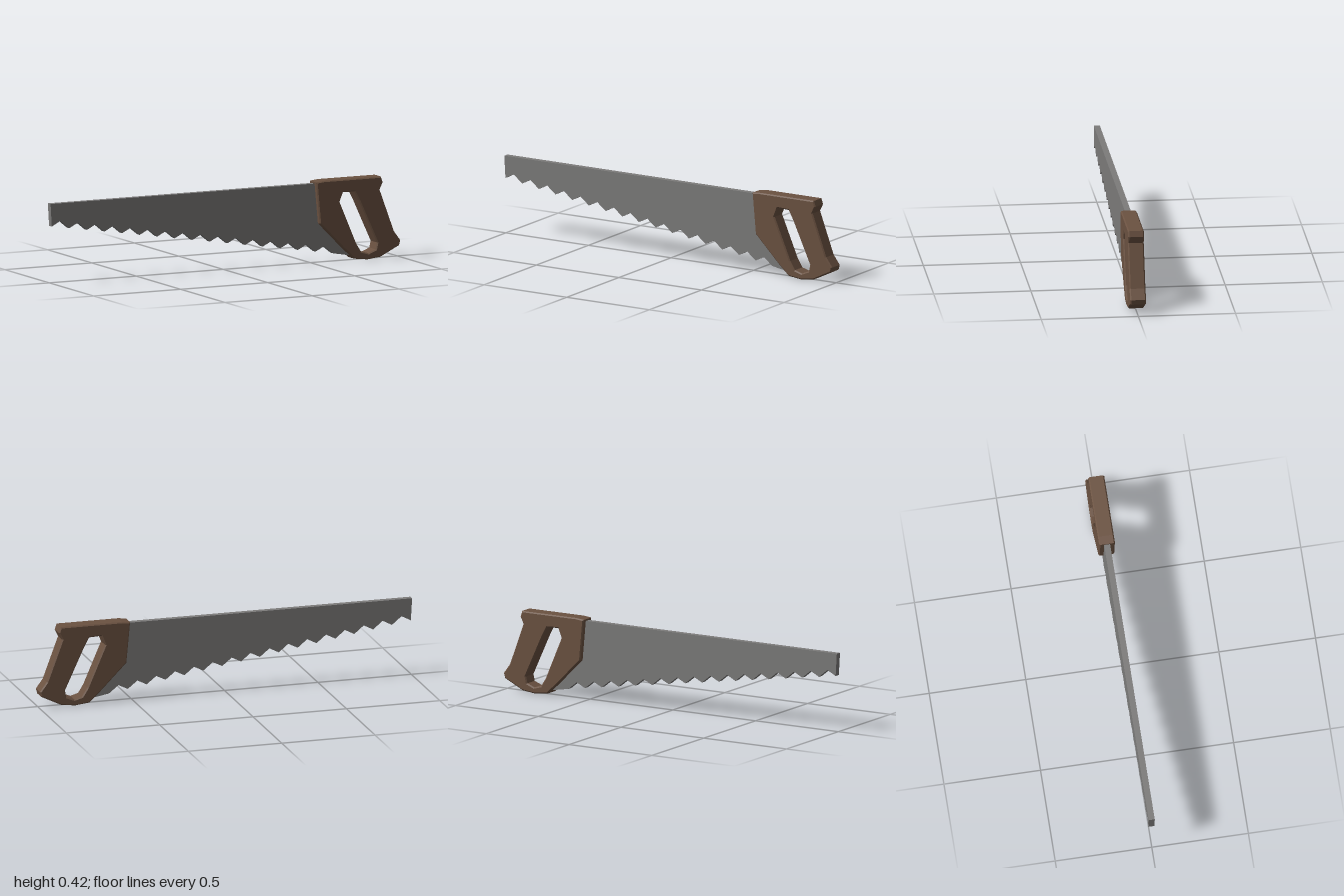
import * as THREE from 'three';

const toPoints = (list) => list.map(([x, y]) => new THREE.Vector2(x, y));

// Extrudes a shape to a given thickness, centred on z = 0, with an optional chamfer
function slab(name, shape, thickness, bevel, material) {
  const geometry = new THREE.ExtrudeGeometry(shape, {
    depth: thickness - 2 * bevel,
    bevelEnabled: bevel > 0,
    bevelSize: bevel,
    bevelThickness: bevel,
    bevelOffset: -bevel,
    bevelSegments: 1,
  });
  geometry.translate(0, 0, bevel - thickness / 2);
  const mesh = new THREE.Mesh(geometry, material);
  mesh.name = name;
  return mesh;
}

export function createModel() {
  const steel = new THREE.MeshStandardMaterial({ color: 0x7c7b7a, flatShading: true });
  steel.name = 'steel';
  const wood = new THREE.MeshStandardMaterial({ color: 0x6b5241, flatShading: true });
  wood.name = 'brown wood';

  const saw = new THREE.Group();
  saw.name = 'handSaw';

  // Blade: straight back, sloping toothed edge, heel tucked into the handle
  const outline = [[0.6, 0.411], [-1, 0.411]];
  const teeth = 16;
  for (let i = 0; i <= teeth; i++) {
    const x = -0.993 + 0.101 * i;
    outline.push([x, 0.294 - 0.0157 * i]);
    if (i < teeth) outline.push([x + 0.05, 0.32 - 0.0158 * i]);
  }
  outline.push([0.73, 0.024], [0.71, 0.1], [0.6, 0.22]);
  saw.add(slab('blade', new THREE.Shape(toPoints(outline)), 0.031, 0, steel));

  // Handle: chamfered closed grip, outline clockwise
  const grip = new THREE.Shape(toPoints([
    [0.516, 0.42], [0.56, 0.425], [0.888, 0.425], [0.898, 0.395], [0.88, 0.358],
    [0.962, 0.138], [0.999, 0.088], [0.992, 0.062], [0.885, 0.01], [0.81, 0.001],
    [0.735, 0.01], [0.672, 0.068], [0.536, 0.205],
  ]));
  // Finger hole, counterclockwise so its walls face inward
  grip.holes.push(new THREE.Path(toPoints([
    [0.65, 0.31], [0.745, 0.09], [0.773, 0.045], [0.815, 0.033], [0.857, 0.05],
    [0.865, 0.085], [0.761, 0.31], [0.735, 0.357], [0.67, 0.36],
  ])));
  saw.add(slab('handle', grip, 0.082, 0.006, wood));

  return saw;
}
